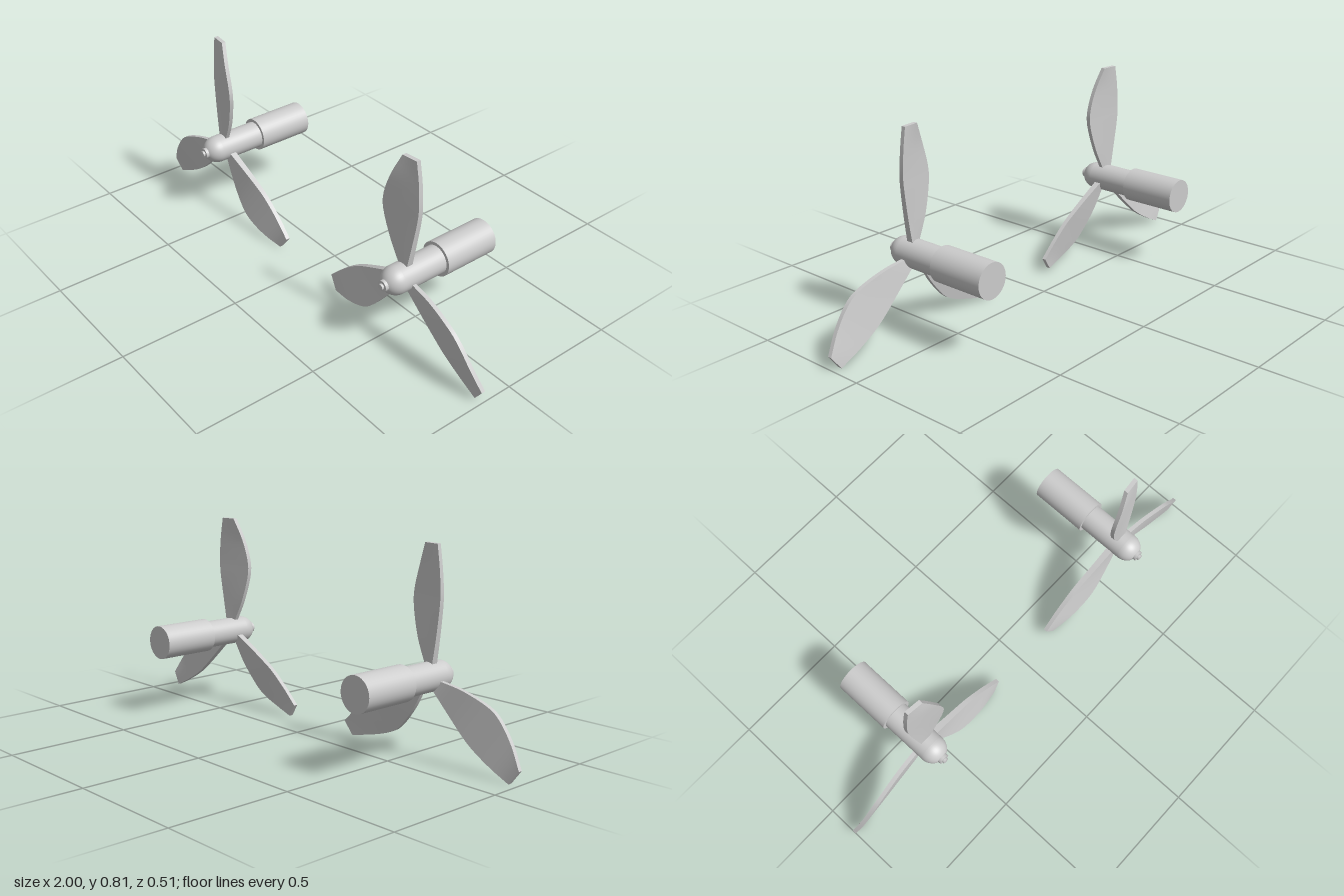
import * as THREE from 'three';

const material = new THREE.MeshStandardMaterial({ color: 0xcccccc });
const HUB_X = 0.578, HUB_Y = 0.32;

function part(name, geometry) {
  const mesh = new THREE.Mesh(geometry, material);
  mesh.name = name;
  return mesh;
}

// Cylinder lying along z, from z0 to z1
function zCylinder(name, radius, z0, z1) {
  const g = new THREE.CylinderGeometry(radius, radius, z1 - z0, 40);
  g.rotateX(Math.PI / 2).translate(0, 0, (z0 + z1) / 2);
  return part(name, g);
}

const curve = (pts) =>
  new THREE.CatmullRomCurve3(pts.map((p) => new THREE.Vector3(...p)), false, 'catmullrom');

// Front rims of a blade as (sideways offset, radius, z), from root to tip
const narrowEdge = curve([
  [-0.021, 0.045, 0.150], [-0.037, 0.14, 0.145], [-0.053, 0.25, 0.139],
  [-0.057, 0.32, 0.137], [-0.050, 0.41, 0.136], [-0.036, 0.497, 0.137],
]);
const wideEdge = curve([
  [0.022, 0.045, 0.149], [0.066, 0.14, 0.156], [0.096, 0.25, 0.165],
  [0.095, 0.32, 0.166], [0.067, 0.41, 0.160], [0.029, 0.497, 0.144],
]);

// Pitched, curved slab spanning the two rims; side = -1 mirrors it
function bladeGeometry(side) {
  const g = new THREE.BoxGeometry(1, 1, 1, 4, 20, 1);
  const pos = g.attributes.position;
  for (let i = 0; i < pos.count; i++) {
    const t = pos.getY(i) + 0.5;
    const u = 0.5 + side * pos.getX(i);
    const p = narrowEdge.getPoint(t).lerp(wideEdge.getPoint(t), u);
    const thickness = 0.017 + 0.011 * (1 - t) ** 2 * (1 - u);
    pos.setXYZ(i, side * p.x, p.y, pos.getZ(i) > 0 ? p.z : p.z - thickness);
  }
  g.computeVertexNormals();
  return g;
}

// Rounded nose ahead of the shaft
function noseGeometry() {
  const pts = [];
  for (let i = 0; i <= 10; i++) {
    const a = (i / 10) * THREE.MathUtils.degToRad(65);
    pts.push(new THREE.Vector2(0.057 * Math.cos(a), 0.18 + 0.06 * Math.sin(a)));
  }
  return new THREE.LatheGeometry(pts, 40).rotateX(Math.PI / 2);
}

function propeller(name, side) {
  const group = new THREE.Group();
  group.name = name;
  group.add(
    zCylinder('motorHousing', 0.07, -0.255, -0.015),
    zCylinder('shaft', 0.057, -0.015, 0.18),
    part('nose', noseGeometry()),
    zCylinder('nut', 0.022, 0.225, 0.246),
    zCylinder('shaftTip', 0.012, 0.24, 0.255),
  );
  // One blade upright, two swept 125 degrees to either side
  const geometry = bladeGeometry(side);
  for (const angle of [0, 125, -125]) {
    const blade = part('blade', geometry);
    blade.rotation.z = THREE.MathUtils.degToRad(angle);
    group.add(blade);
  }
  group.position.set(-side * HUB_X, HUB_Y, 0);
  return group;
}

export function createModel() {
  const model = new THREE.Group();
  model.name = 'twinPropellers';
  model.add(propeller('rightPropeller', 1), propeller('leftPropeller', -1));
  return model;
}
